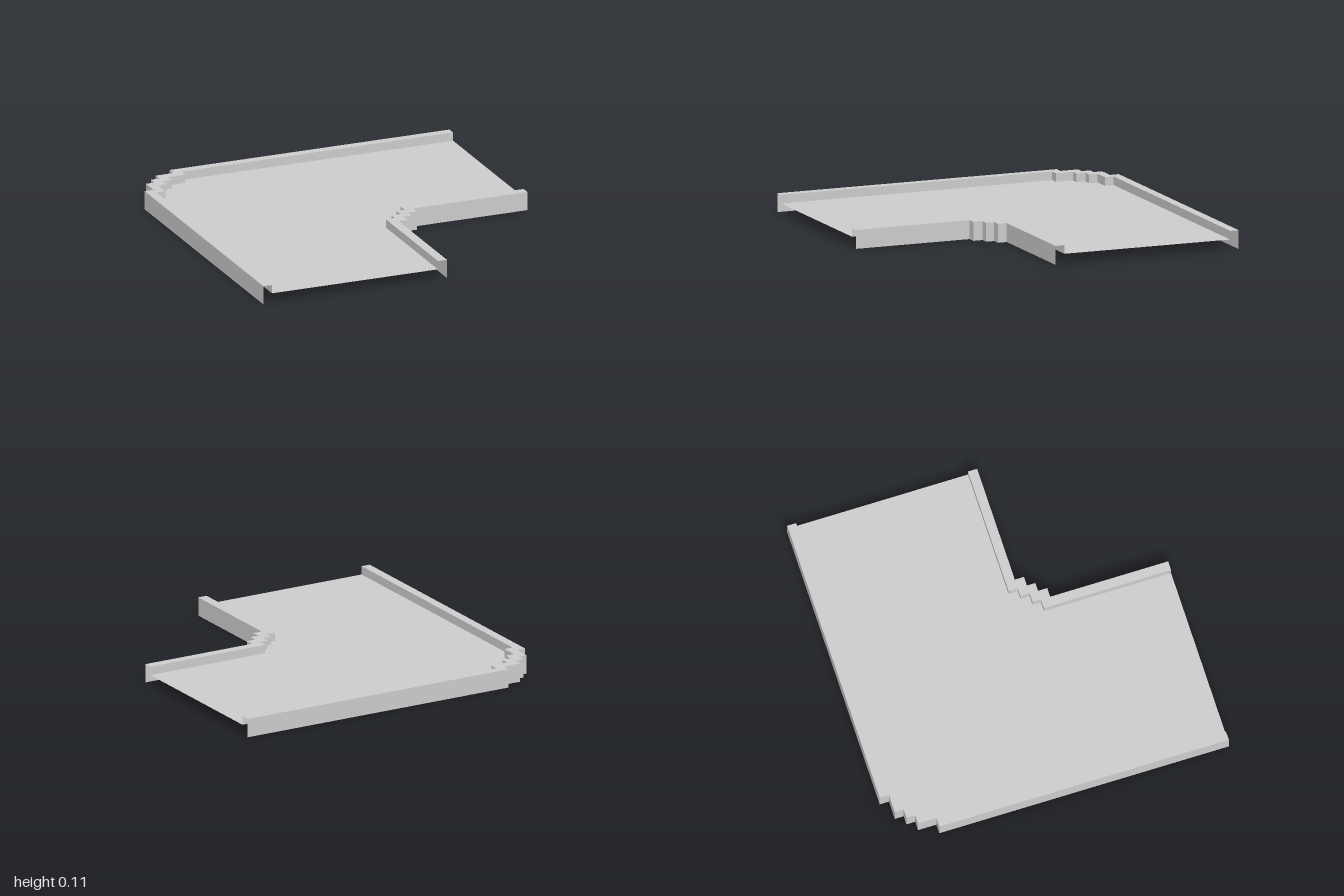
import * as THREE from 'three';

const FLOOR_Y = 0.06, TOP_Y = 0.11;
const material = new THREE.MeshStandardMaterial({ color: 0xcccccc, flatShading: true, side: THREE.DoubleSide });

// Complete a stepped [x, z] path by mirroring it over the diagonal x = z;
// the last point lies on the diagonal.
function bend(half) {
  return [...half, ...half.slice(0, -1).reverse().map(([x, z]) => [z, x])];
}

// Flat upward-facing sheet between two paths
function sheet(name, a, b, y) {
  const outline = [...a, ...[...b].reverse()].map(([x, z]) => new THREE.Vector2(x, -z));
  const geometry = new THREE.ShapeGeometry(new THREE.Shape(outline));
  geometry.rotateX(-Math.PI / 2).translate(0, y, 0);
  const mesh = new THREE.Mesh(geometry, material);
  mesh.name = name;
  return mesh;
}

// Vertical wall following a path, facing the right-hand side of travel
function wall(name, path, y0, y1) {
  const positions = [];
  for (let i = 0; i < path.length - 1; i++) {
    const [ax, az] = path[i], [bx, bz] = path[i + 1];
    positions.push(ax, y0, az, bx, y0, bz, bx, y1, bz);
    positions.push(ax, y0, az, bx, y1, bz, ax, y1, az);
  }
  const geometry = new THREE.BufferGeometry();
  geometry.setAttribute('position', new THREE.Float32BufferAttribute(positions, 3));
  geometry.computeVertexNormals();
  const mesh = new THREE.Mesh(geometry, material);
  mesh.name = name;
  return mesh;
}

export function createModel() {
  const group = new THREE.Group();
  group.name = 'cornerPath';

  // Stepped edges of the two kerbs
  const outerOutside = bend([[-1, 1], [-1, -0.73], [-0.945, -0.73], [-0.945, -0.84], [-0.892, -0.84], [-0.892, -0.892]]);
  const outerInside = bend([[-0.947, 1], [-0.947, -0.68], [-0.893, -0.68], [-0.893, -0.785], [-0.84, -0.785], [-0.84, -0.84]]);
  const innerInside = bend([[0.08, 1], [0.08, 0.24], [0.135, 0.24], [0.135, 0.19], [0.19, 0.19]]);
  const innerOutside = bend([[0.135, 1], [0.135, 0.295], [0.19, 0.295], [0.19, 0.24], [0.24, 0.24]]);

  // Floor between the kerbs
  group.add(sheet('floor', outerInside, innerInside, FLOOR_Y));

  // Kerb round the outside of the bend, hollow and open at its ends
  const outerKerb = new THREE.Group();
  outerKerb.name = 'outerKerb';
  outerKerb.add(
    sheet('outerKerbTop', outerOutside, outerInside, TOP_Y),
    wall('outerKerbOutsideWall', [...outerOutside].reverse(), 0, TOP_Y),
    wall('outerKerbInsideWall', outerInside, FLOOR_Y, TOP_Y)
  );

  // Kerb round the inside of the bend
  const innerKerb = new THREE.Group();
  innerKerb.name = 'innerKerb';
  innerKerb.add(
    sheet('innerKerbTop', innerInside, innerOutside, TOP_Y),
    wall('innerKerbInsideWall', [...innerInside].reverse(), FLOOR_Y, TOP_Y),
    wall('innerKerbOutsideWall', innerOutside, 0, TOP_Y)
  );

  group.add(outerKerb, innerKerb);
  return group;
}
